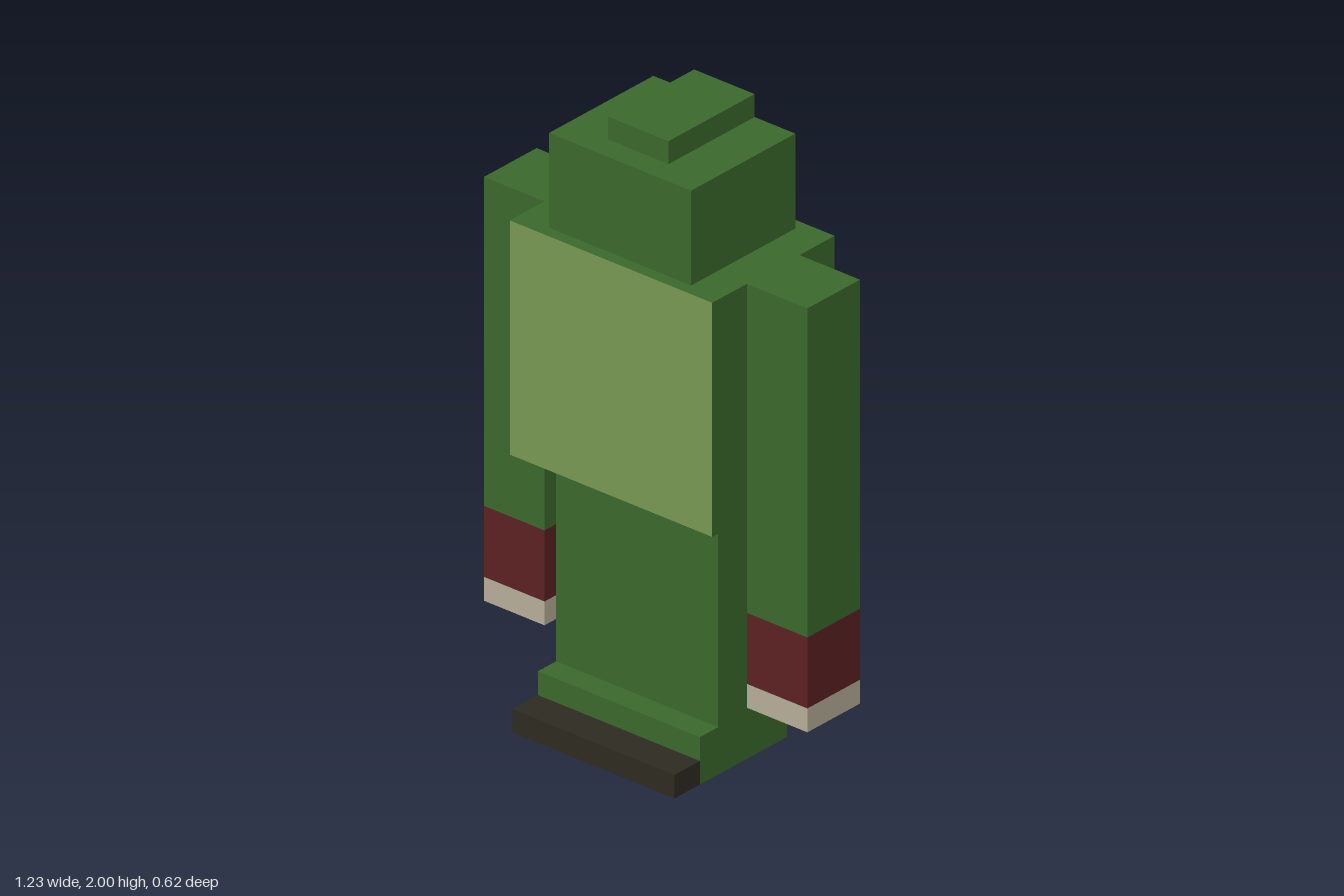
import * as THREE from 'three';

function material(name, color) {
  const m = new THREE.MeshStandardMaterial({ color });
  m.name = name;
  return m;
}

export function createModel() {
  const green = material('green', 0x3b692c);
  const belly = material('light green', 0x789853);
  const red = material('dark red', 0x5c2121);
  const bone = material('bone', 0xb5ad98);
  const dark = material('dark brown', 0x2e2a21);

  const model = new THREE.Group();
  model.name = 'blockFigure';

  // Box given by its extents on each axis
  function box(name, mat, [x0, x1], [y0, y1], [z0, z1], parent = model) {
    const mesh = new THREE.Mesh(new THREE.BoxGeometry(x1 - x0, y1 - y0, z1 - z0), mat);
    mesh.position.set((x0 + x1) / 2, (y0 + y1) / 2, (z0 + z1) / 2);
    mesh.name = name;
    parent.add(mesh);
    return mesh;
  }

  // Head with the crest on top
  box('crest', green, [-0.115, 0.115], [1.925, 2], [-0.27, 0.11]);
  box('head', green, [-0.27, 0.27], [1.615, 1.925], [-0.27, 0.19]);

  // Torso: only the front face is light
  box('torso', [green, green, green, green, belly, green],
    [-0.385, 0.385], [0.85, 1.615], [-0.31, 0.23]);

  // Legs, feet and toes
  box('legs', green, [-0.308, 0.308], [0.155, 0.85], [-0.19, 0.115]);
  box('feet', green, [-0.308, 0.308], [0, 0.155], [-0.19, 0.195]);
  box('toes', dark, [-0.308, 0.308], [0, 0.077], [0.195, 0.308]);

  // Arms with red cuffs and bone claws
  for (const [side, s] of [['left', 1], ['right', -1]]) {
    const arm = new THREE.Group();
    arm.name = side + 'Arm';
    const x = s > 0 ? [0.385, 0.615] : [-0.615, -0.385];
    const z = [-0.155, 0.077];
    box(side + 'Sleeve', green, x, [0.54, 1.615], z, arm);
    box(side + 'Cuff', red, x, [0.308, 0.54], z, arm);
    box(side + 'Claws', bone, x, [0.23, 0.308], z, arm);
    model.add(arm);
  }

  return model;
}
